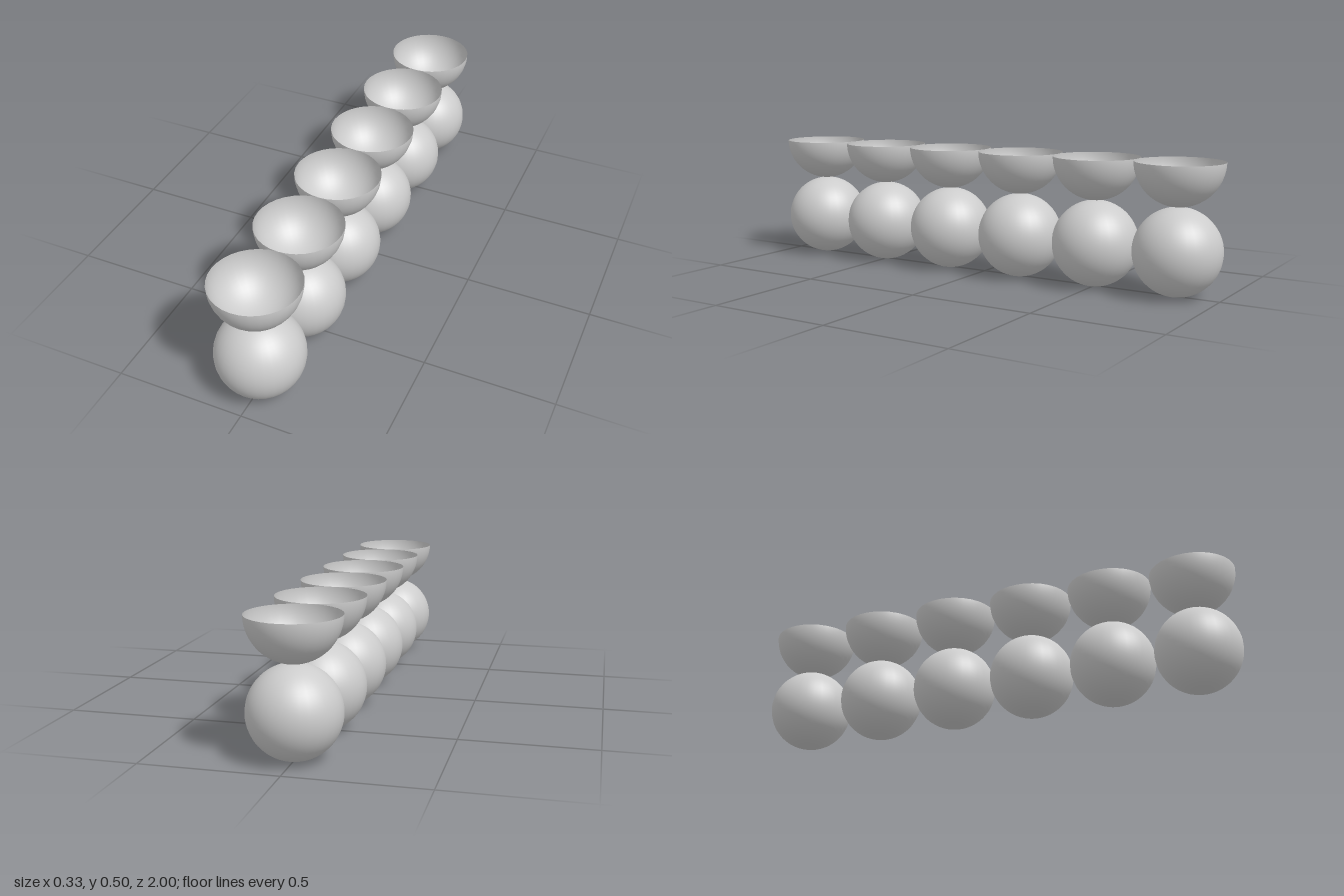
import * as THREE from 'three';

export function createModel() {
  const model = new THREE.Group();
  const grey = new THREE.MeshStandardMaterial({ color: 0xcccccc, side: THREE.DoubleSide });
  grey.name = 'light grey';

  const count = 6;
  const radius = 1 / count;
  const ballGeometry = new THREE.SphereGeometry(radius, 32, 32);
  // open lower hemisphere
  const bowlGeometry = new THREE.SphereGeometry(radius, 32, 16, 0, Math.PI * 2, Math.PI / 2, Math.PI / 2);

  const add = (name, geometry, y, z) => {
    const mesh = new THREE.Mesh(geometry, grey);
    mesh.name = name;
    mesh.position.set(0, y, z);
    model.add(mesh);
  };

  // a row of touching balls, each carrying a bowl
  for (let i = 0; i < count; i++) {
    const z = -1 + radius * (2 * i + 1);
    add('ball' + (i + 1), ballGeometry, radius, z);
    add('bowl' + (i + 1), bowlGeometry, 3 * radius, z);
  }
  return model;
}
